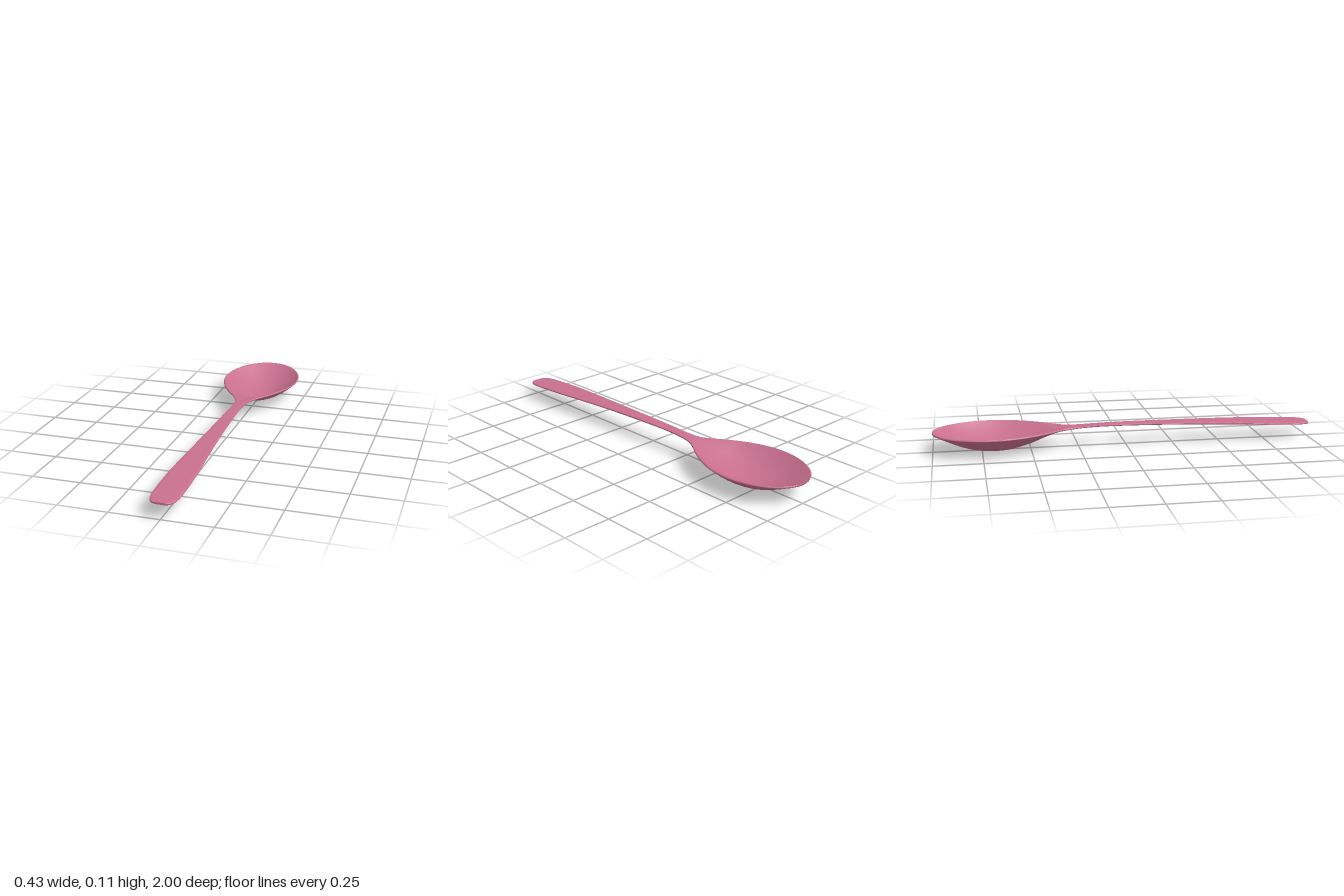
import * as THREE from 'three';
import { toCreasedNormals } from 'three/addons/utils/BufferGeometryUtils.js';

// Stations from bowl tip to handle end: z, half width, mid height, bowl depth
const STATIONS = [
  [-1, 0.008, 0.1, 0], [-0.995, 0.039, 0.1, 0.003], [-0.98, 0.0765, 0.1, 0.009],
  [-0.95, 0.118, 0.1, 0.023], [-0.91, 0.152, 0.1, 0.042], [-0.85, 0.184, 0.1, 0.067],
  [-0.78, 0.206, 0.1, 0.086], [-0.69, 0.213, 0.1, 0.095], [-0.6, 0.2, 0.1, 0.088],
  [-0.5, 0.162, 0.1, 0.062], [-0.42, 0.116, 0.1, 0.031], [-0.36, 0.074, 0.1, 0.012],
  [-0.31, 0.046, 0.1, 0.003], [-0.25, 0.032, 0.103, 0], [-0.15, 0.029, 0.107, 0],
  [0, 0.033, 0.108, 0], [0.25, 0.043, 0.105, 0], [0.5, 0.057, 0.099, 0],
  [0.7, 0.069, 0.092, 0], [0.85, 0.071, 0.085, 0], [0.94, 0.067, 0.081, 0],
  [0.975, 0.058, 0.0795, 0], [0.993, 0.044, 0.0785, 0], [1, 0.028, 0.078, 0],
];
const R = 0.005;      // half the metal thickness, also the edge radius
const ACROSS = 24;    // divisions across the width
const EDGE = 6;       // divisions around each rounded edge
const RINGS = 138;

// Closed cross-section, counter-clockwise: underside, edge, upper side, edge
function section(w, y, depth) {
  const inner = Math.max(w - R, 0.001);
  const pts = [];
  const dish = (u) => y - depth * (1 - u * u);
  for (const side of [-1, 1]) {
    for (let i = 0; i <= ACROSS; i++) {
      const u = -side * (-1 + (2 * i) / ACROSS);
      pts.push([inner * u, dish(u) + side * R]);
    }
    for (let i = 1; i < EDGE; i++) {
      const a = -Math.PI / 2 + (Math.PI * i) / EDGE;
      pts.push([-side * (inner + R * Math.cos(a)), y - side * R * Math.sin(a)]);
    }
  }
  // first pass runs left to right below, second right to left above
  return pts;
}

function spoonGeometry() {
  const edge = new THREE.CatmullRomCurve3(STATIONS.map(([z, w, y]) => new THREE.Vector3(w, y, z)));
  const depths = new THREE.SplineCurve(STATIONS.map(([, , , d], i) => new THREE.Vector2(i, d)));
  const positions = [];
  const index = [];
  let n = 0;
  for (let j = 0; j <= RINGS; j++) {
    const p = edge.getPoint(j / RINGS);
    const depth = Math.max(0, depths.getPoint(j / RINGS).y);
    const ring = section(p.x, p.y, depth);
    n = ring.length;
    for (const [x, y] of ring) positions.push(x, y, p.z);
  }
  for (let j = 0; j < RINGS; j++) {
    for (let i = 0; i < n; i++) {
      const k = (i + 1) % n;
      const a = j * n + i, b = j * n + k, c = b + n, d = a + n;
      index.push(a, b, c, a, c, d);
    }
  }
  // Close both ends
  const first = STATIONS[0], last = STATIONS[STATIONS.length - 1];
  const tip = positions.length / 3;
  positions.push(0, first[2], first[0], 0, last[2], last[0]);
  for (let i = 0; i < n; i++) {
    const k = (i + 1) % n;
    index.push(tip, k, i, tip + 1, RINGS * n + i, RINGS * n + k);
  }
  const geometry = new THREE.BufferGeometry();
  geometry.setAttribute('position', new THREE.Float32BufferAttribute(positions, 3));
  geometry.setIndex(index);
  return toCreasedNormals(geometry, 0.9);
}

export function createModel() {
  const group = new THREE.Group();
  group.name = 'spoon';
  // Bowl, neck and handle are one continuous piece
  const body = new THREE.Mesh(spoonGeometry(), new THREE.MeshStandardMaterial({ color: 0xc9708f }));
  body.name = 'bowlAndHandle';
  group.add(body);
  return group;
}
